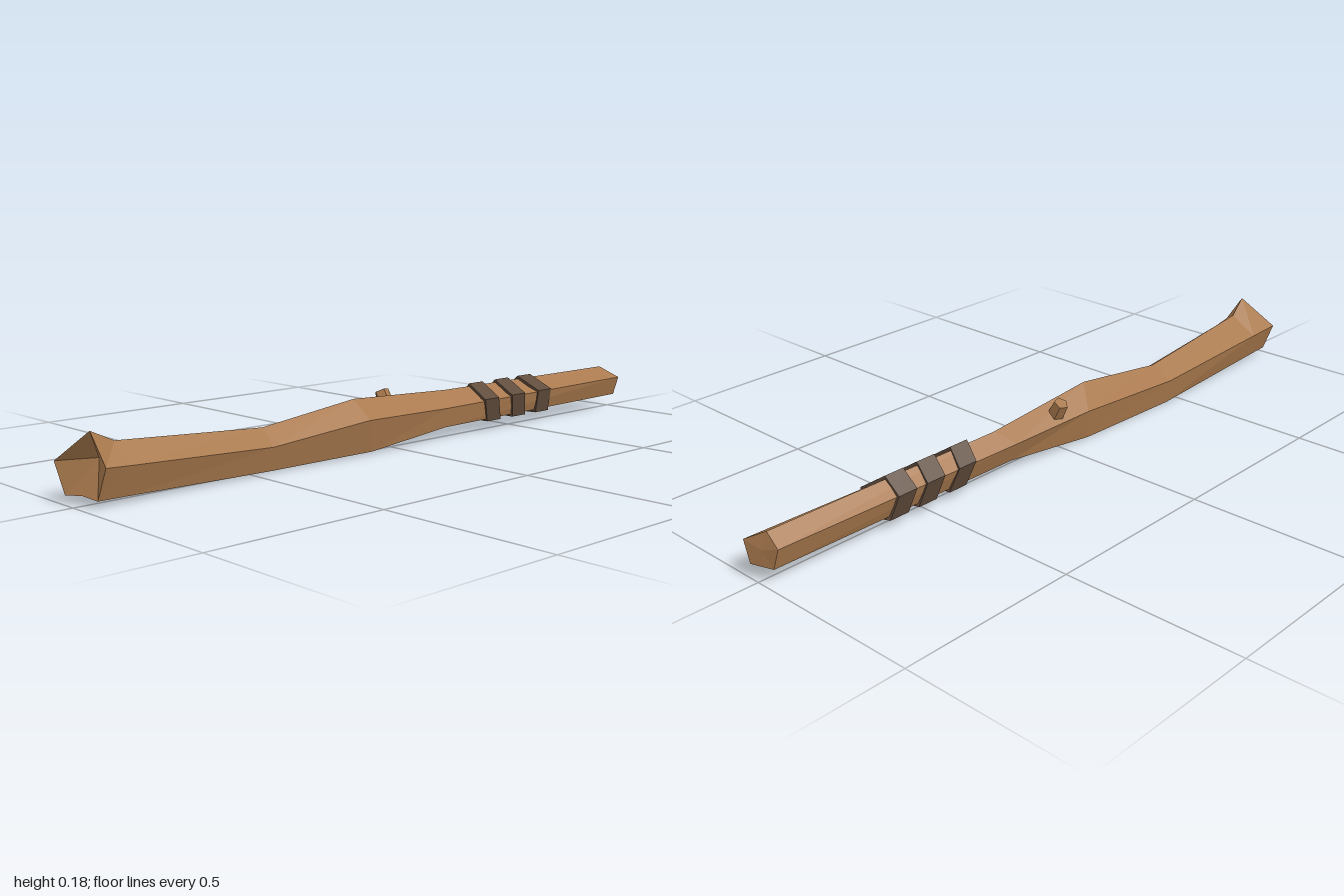
import * as THREE from 'three';

const wood = new THREE.MeshStandardMaterial({ color: 0xa9794d });
wood.name = 'wood';
const wrap = new THREE.MeshStandardMaterial({ color: 0x5f4b3b });
wrap.name = 'dark wrap';

// Faceted skin over rings of points that run clockwise seen from the front.
function loft(rings, backCentre, frontCentre, material, name) {
  const pos = [];
  const tri = (a, b, c) => pos.push(...a, ...b, ...c);
  const n = rings[0].length;
  for (let k = 0; k < n; k++) {
    const m = (k + 1) % n;
    for (let i = 0; i < rings.length - 1; i++) {
      const r = rings[i], s = rings[i + 1];
      tri(r[k], s[k], s[m]);
      tri(r[k], s[m], r[m]);
    }
    tri(backCentre, rings[0][k], rings[0][m]);
    const last = rings[rings.length - 1];
    tri(frontCentre, last[m], last[k]);
  }
  const geometry = new THREE.BufferGeometry();
  geometry.setAttribute('position', new THREE.Float32BufferAttribute(pos, 3));
  geometry.computeVertexNormals();
  const mesh = new THREE.Mesh(geometry, material);
  mesh.name = name;
  return mesh;
}

export function createModel() {
  const club = new THREE.Group();
  club.name = 'woodenClub';

  // Cross-sections: top, right, bottom right, bottom middle, bottom left, left
  const back = [[-0.016, 0.132, -0.975], [0.043, 0.1, -1], [0.024, 0.042, -1],
    [-0.008, 0.042, -0.99], [-0.038, 0.042, -0.98], [-0.054, 0.098, -0.975]];
  const grip = [[-0.025, 0.133, -0.25], [0.032, 0.091, -0.2], [0.022, 0.034, -0.2],
    [-0.008, 0.034, -0.2], [-0.038, 0.034, -0.2], [-0.06, 0.09, -0.2]];
  const belly = [[-0.008, 0.152, 0.13], [0.058, 0.101, 0.13], [0.034, 0.008, 0.1],
    [-0.01, 0.01, 0.1], [-0.052, 0.004, 0.1], [-0.07, 0.095, 0.08]];
  const waist = [[-0.015, 0.113, 0.44], [0.043, 0.071, 0.45], [0.026, 0.006, 0.45],
    [-0.01, 0.012, 0.45], [-0.063, 0.002, 0.45], [-0.076, 0.075, 0.45]];
  const neck = [[0.008, 0.145, 0.89], [0.07, 0.095, 0.89], [0.045, 0.018, 0.89],
    [0, 0.023, 0.89], [-0.053, 0.018, 0.89], [-0.076, 0.095, 0.89]];
  const front = [[0.027, 0.18, 0.965], [0.077, 0.1, 0.957], [0.05, 0.02, 0.965],
    [0, 0.026, 0.975], [-0.051, 0.021, 0.99], [-0.077, 0.1, 1]];
  club.add(loft([back, grip, belly, waist, neck, front],
    [-0.008, 0.085, -0.988], [0.005, 0.11, 0.93], wood, 'shaft'));

  // Slanted wraps around the grip; z offsets follow the same point order
  const outline = [[-0.02, 0.142], [0.042, 0.1], [0.028, 0.03], [-0.008, 0.03],
    [-0.044, 0.03], [-0.064, 0.098]];
  const slants = [
    [-0.375, [0, -0.005, -0.03, -0.03, -0.03, -0.01]],
    [-0.49, [0, -0.01, -0.028, -0.028, -0.02, -0.005]],
    [-0.595, [0, -0.028, -0.032, -0.025, -0.01, 0.005]],
  ];
  slants.forEach(([z, offsets], i) => {
    const ring = (d) => outline.map(([x, y], k) => [x, y, z + offsets[k] + d]);
    club.add(loft([ring(-0.03), ring(0.03)], [-0.01, 0.085, z - 0.03],
      [-0.01, 0.085, z + 0.01], wrap, 'gripWrap' + (i + 1)));
  });

  // Broken twig stub on the upper side of the shaft
  const stub = new THREE.Mesh(new THREE.CylinderGeometry(0.021, 0.025, 0.07, 5).toNonIndexed(), wood);
  stub.geometry.computeVertexNormals();
  stub.name = 'twigStub';
  stub.position.set(-0.043, 0.12, -0.023);
  stub.rotation.z = 0.5;
  club.add(stub);

  return club;
}
